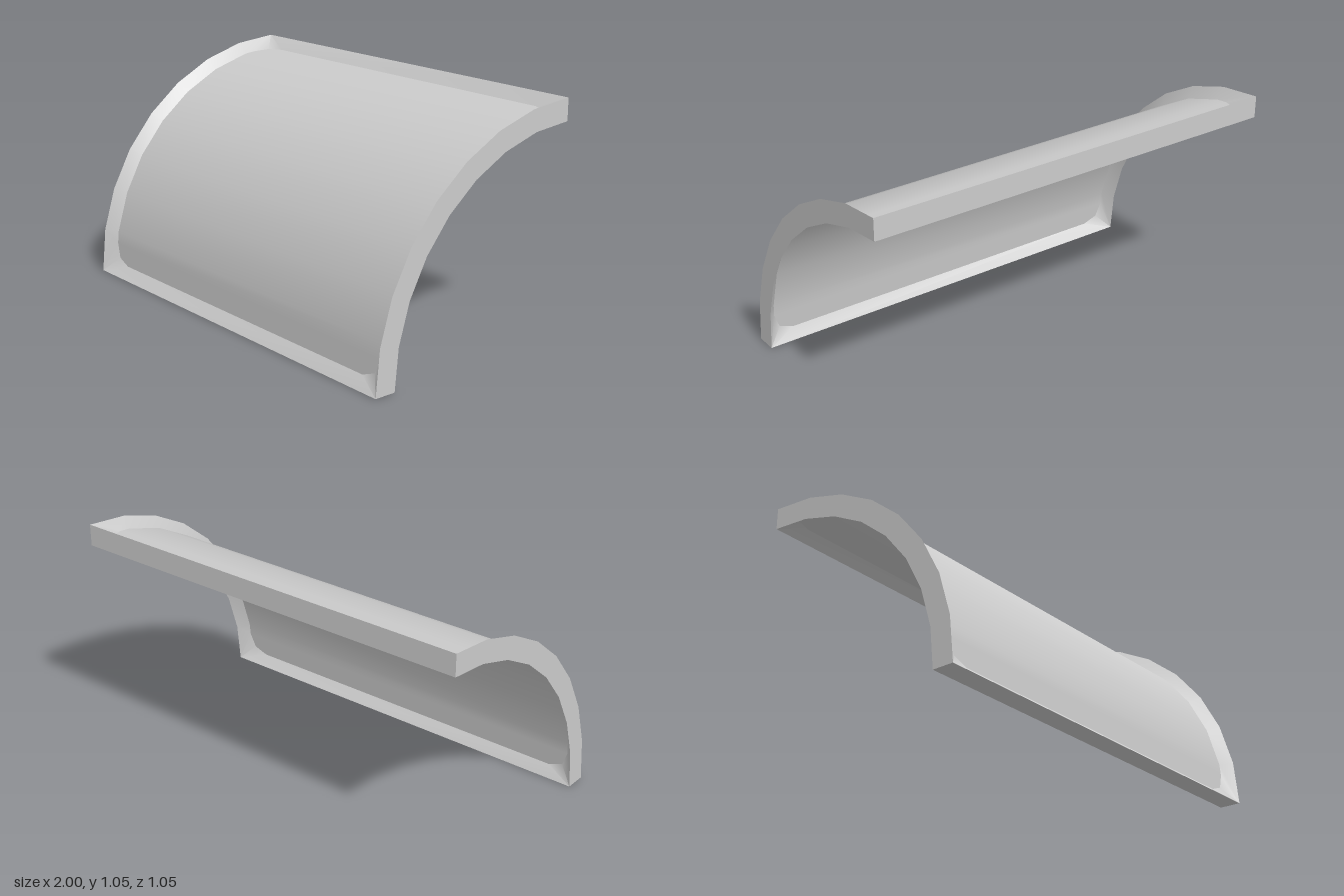
import * as THREE from 'three';
import { toCreasedNormals } from 'three/addons/utils/BufferGeometryUtils.js';

const QUARTER = Math.PI / 2, SEGMENTS = 8, STEP = QUARTER / SEGMENTS;
const OUTER = 1.05, MIDDLE = 1.0, INNER = 0.95;

// Point on the faceted quarter barrel: [x, angle] at a nominal radius
function onArc([x, angle], radius) {
  const k = Math.min(Math.floor(angle / STEP + 1e-6), SEGMENTS - 1);
  const r = radius * Math.cos(STEP / 2) / Math.cos(angle - (k + 0.5) * STEP);
  return new THREE.Vector3(x, r * Math.sin(angle), r * Math.cos(angle) - OUTER / 2);
}

// Adds a quad as triangles, leaving out collapsed ones
function quad(out, a, b, c, d) {
  for (const [p, q, r] of [[a, b, c], [a, c, d]]) {
    const area = q.clone().sub(p).cross(r.clone().sub(p)).length();
    if (area > 1e-8) for (const v of [p, q, r]) out.push(v.x, v.y, v.z);
  }
}

function makeMesh(name, positions, side) {
  const geometry = new THREE.BufferGeometry();
  geometry.setAttribute('position', new THREE.Float32BufferAttribute(positions, 3));
  const material = new THREE.MeshStandardMaterial({ color: 0xcccccc, side });
  const mesh = new THREE.Mesh(toCreasedNormals(geometry, 0.6), material);
  mesh.name = name;
  return mesh;
}

export function createModel() {
  const group = new THREE.Group();
  group.name = 'curvedWindow';

  // Pane rows [half width, angle, frame angle], narrowing at the rounded corners
  const corner = [[0.86, 0.043], [0.93, 0.07], [0.957, 0.14]];
  const rows = corner.map(([w, a]) => [w, a, 0]);
  for (let k = 1; k < SEGMENTS; k++) rows.push([0.957, k * STEP, k * STEP]);
  for (const [w, a] of [...corner].reverse()) rows.push([w, QUARTER - a, QUARTER]);

  // Curved pane, a thin sheet halfway through the frame
  const pane = [];
  for (let i = 0; i + 1 < rows.length; i++) {
    const [w0, a0] = rows[i], [w1, a1] = rows[i + 1];
    quad(pane, ...[[-w0, a0], [w0, a0], [w1, a1], [-w1, a1]].map(p => onArc(p, MIDDLE)));
  }
  group.add(makeMesh('pane', pane, THREE.DoubleSide));

  // Matching loops around the pane edge and the frame edge
  const down = [...rows].reverse();
  const edge = [...rows.map(([w, a]) => [w, a]), ...down.map(([w, a]) => [-w, a])];
  const rim = [...rows.map(r => [1, r[2]]), ...down.map(r => [-1, r[2]])];

  // Frame: bevels sloping to the pane on both faces, and the outer end walls
  const frame = [];
  for (let i = 0; i < rim.length; i++) {
    const j = (i + 1) % rim.length;
    const e0 = onArc(edge[i], MIDDLE), e1 = onArc(edge[j], MIDDLE);
    const o0 = onArc(rim[i], OUTER), o1 = onArc(rim[j], OUTER);
    const n0 = onArc(rim[i], INNER), n1 = onArc(rim[j], INNER);
    quad(frame, o0, o1, e1, e0);
    quad(frame, n1, n0, e0, e1);
    quad(frame, n0, n1, o1, o0);
  }
  group.add(makeMesh('frame', frame, THREE.FrontSide));

  return group;
}
